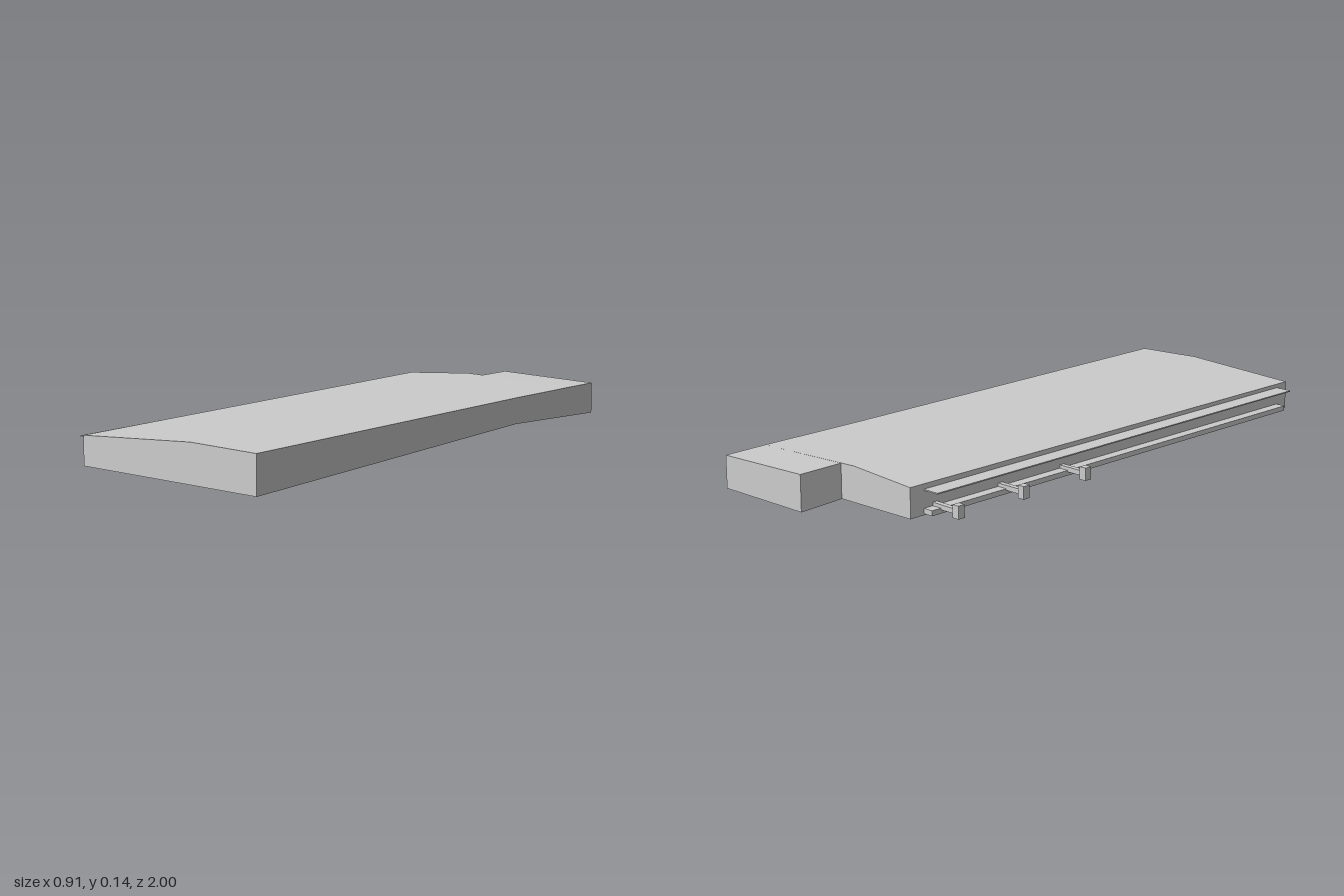
import * as THREE from 'three';

const grey = new THREE.MeshStandardMaterial({ color: 0xcccccc });
grey.name = 'light grey';

// Skin a row of matching cross-sections (front to rear, counter-clockwise from the front) with flat end caps
function loft(name, sections) {
  const pos = [];
  const tri = (...p) => p.forEach((v) => pos.push(...v));
  const n = sections[0].length;
  const first = sections[0];
  const last = sections[sections.length - 1];
  for (let i = 1; i < n - 1; i++) {
    tri(first[0], first[i], first[i + 1]);
    tri(last[0], last[i + 1], last[i]);
  }
  for (let s = 0; s < sections.length - 1; s++) {
    for (let i = 0; i < n; i++) {
      const j = (i + 1) % n;
      const [a, b, c, d] = [sections[s][i], sections[s][j], sections[s + 1][i], sections[s + 1][j]];
      tri(a, c, b);
      tri(b, c, d);
    }
  }
  const geo = new THREE.BufferGeometry();
  geo.setAttribute('position', new THREE.Float32BufferAttribute(pos, 3));
  geo.computeVertexNormals();
  const mesh = new THREE.Mesh(geo, grey);
  mesh.name = name;
  return mesh;
}

const lerp = THREE.MathUtils.lerp;

// Slanted stations: ends [x, z], heights at both edges, and where the ridge sits across
const stations = [
  { L: [-0.40, 0.935], R: [0.27, 0.997], bl: 0.022, br: 0.0, tl: 0.118, tr: 0.127, ridge: 0.634 },
  { L: [-0.272, -0.505], R: [0.398, -0.45], bl: 0.026, br: 0.03, tl: 0.121, tr: 0.121, ridge: 0.423 },
  { L: [-0.24, -0.865], R: [0.437, -0.81], bl: 0.023, br: 0.015, tl: 0.122, tr: 0.119, ridge: 0.37 },
];
const at = (s, f, y) => [lerp(s.L[0], s.R[0], f), y, lerp(s.L[1], s.R[1], f)];

// Point on the right-hand wall at depth z, moved outward
const wall = (z, out, y) => [-0.317 - 0.0889 * z - out, y, z - out * 0.09];

// Straight bar running along the wall
function wallBar(name, zFront, zRear, inner, outer, y0, y1) {
  return loft(name, [zFront, zRear].map((z) => [
    wall(z, outer, y0), wall(z, inner, y0), wall(z, inner, y1), wall(z, outer, y1),
  ]));
}

export function createModel() {
  const model = new THREE.Group();
  model.name = 'wingPanel';

  // Main slab with a step under the raised panel
  model.add(loft('mainSlab', stations.map((s) => [
    at(s, s.ridge, s.tl - 0.006), at(s, 0, s.tl - 0.006), at(s, 0, s.bl),
    at(s, 1, s.br), at(s, 1, s.tr), at(s, s.ridge, 0.137),
  ])));

  // Wedge-shaped panel between the ridge and the wall
  model.add(loft('upperWedgePanel', stations.map((s) => [
    at(s, s.ridge, 0.137), at(s, 0, s.tl), at(s, 0, s.tl - 0.006), at(s, s.ridge, s.tl - 0.006),
  ])));

  // Rear extension beside the notch
  model.add(loft('rearExtension', [
    [[0.07, 0.019, -0.84], [0.437, 0.015, -0.81], [0.437, 0.119, -0.81], [0.07, 0.134, -0.84]],
    [[0.085, 0.012, -1.0], [0.452, 0.008, -0.965], [0.452, 0.117, -0.965], [0.085, 0.132, -1.0]],
  ]));

  // Thin ledge and lower rail along the wall
  model.add(wallBar('sideLedge', 0.885, -0.81, 0, 0.059, 0.101, 0.105));
  model.add(wallBar('lowerRail', 0.885, -0.81, 0, 0.035, 0.028, 0.045));

  // Three brackets: an arm with a taller head
  for (const z of [-0.765, -0.49, -0.215]) {
    const bracket = new THREE.Group();
    bracket.name = 'bracket';
    bracket.add(wallBar('bracketArm', z + 0.009, z - 0.009, 0, 0.1, 0.04, 0.056));
    bracket.add(wallBar('bracketHead', z + 0.013, z - 0.013, 0.09, 0.115, 0.028, 0.07));
    model.add(bracket);
  }
  return model;
}
